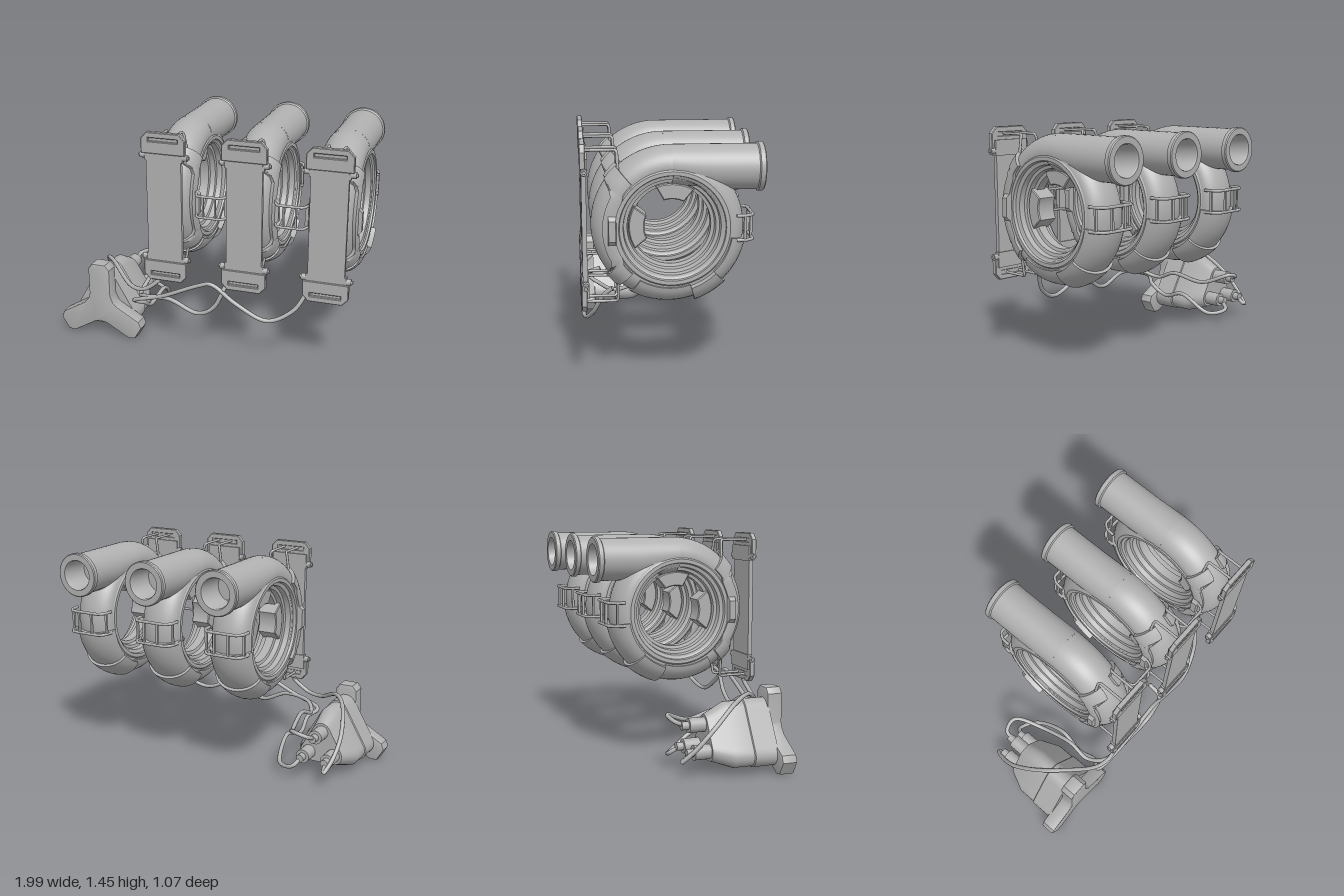
import * as THREE from 'three';
import { toCreasedNormals } from 'three/addons/utils/BufferGeometryUtils.js';

const RAD = Math.PI / 180;
const grey = new THREE.MeshStandardMaterial({ color: 0xb0b0b0, side: THREE.DoubleSide });
grey.name = 'plain grey';

function add(parent, name, geometry, x = 0, y = 0, z = 0) {
  const mesh = new THREE.Mesh(geometry, grey);
  mesh.name = name;
  mesh.position.set(x, y, z);
  parent.add(mesh);
  return mesh;
}
const box = (p, name, w, h, d, x, y, z) => add(p, name, new THREE.BoxGeometry(w, h, d), x, y, z);
const crease = (g) => toCreasedNormals(g, 0.6);

// Skin a list of equal-length cross-sections
function loft(rings, closed = true, caps = false) {
  const n = rings[0].length, pos = rings.flat(2), index = [];
  for (let i = 0; i < rings.length - 1; i++)
    for (let j = 0; j < (closed ? n : n - 1); j++) {
      const a = i * n + j, b = i * n + (j + 1) % n;
      index.push(a, a + n, b, b, a + n, b + n);
    }
  if (caps) [0, rings.length - 1].forEach((i) => {
    const c = pos.length / 3;
    for (let k = 0; k < 3; k++) pos.push(rings[i].reduce((s, p) => s + p[k], 0) / n);
    for (let j = 0; j < n; j++) {
      const a = i * n + j, b = i * n + (j + 1) % n;
      index.push(c, i ? b : a, i ? a : b);
    }
  });
  const g = new THREE.BufferGeometry();
  g.setAttribute('position', new THREE.Float32BufferAttribute(pos, 3));
  g.setIndex(index);
  return crease(g);
}

// Round bar or hose through points; low tension keeps bends tight
function tube(parent, name, points, radius, tension = 0.15, steps = 40) {
  const curve = new THREE.CatmullRomCurve3(points.map((p) => new THREE.Vector3(...p)), false, 'catmullrom', tension);
  return add(parent, name, new THREE.TubeGeometry(curve, steps, radius, 8), 0, 0, 0);
}

// Point on the spiral casing: t runs from the top over the front, psi around the section (degrees)
function casingPoint(t, psi, offset) {
  const outer = 0.47 - 0.045 * THREE.MathUtils.clamp((t - 90) / 200, 0, 1);
  const a = (outer - 0.24) / 2;
  const r = 0.24 + a + (a + offset) * Math.cos(psi * RAD);
  return [(0.134 + offset) * Math.sin(psi * RAD), r * Math.cos(t * RAD), r * Math.sin(t * RAD)];
}
const span = (a, b, n) => Array.from({ length: n + 1 }, (_, i) => a + (b - a) * i / n);

// Raised armour panel following the casing
function panel(parent, name, t0, t1, lo, hi, offset) {
  const ts = span(t0, t1, 24);
  const section = (t, o) => {
    const ps = span(lo(t), hi(t), 14);
    return [...ps.map((p) => casingPoint(t, p, o)), ...ps.reverse().map((p) => casingPoint(t, p, -0.01))];
  };
  add(parent, name, loft([section(t0, -0.01), ...ts.map((t) => section(t, offset)), section(t1, -0.01)]));
}

// Curved block inside the central opening
function innerBlock(parent, from, to) {
  const s = new THREE.Shape();
  s.absarc(0, 0, 0.245, from * RAD, to * RAD, false);
  s.absarc(0, 0, 0.165, (to - 5) * RAD, (from + 5) * RAD, true);
  const g = new THREE.ExtrudeGeometry(s, { depth: 0.12, bevelSize: 0.006, bevelThickness: 0.006, bevelSegments: 1, curveSegments: 10 });
  add(parent, 'innerBlock', g.translate(0, 0, -0.06).rotateY(Math.PI / 2));
}

// End of the front plate: chamfered cap with slot, hinge bar and two rails to the casing
function plateEnd() {
  const g = new THREE.Group();
  g.name = 'plateEnd';
  const s = new THREE.Shape([[-0.14, 0.36], [0.14, 0.36], [0.14, 0.45], [0.105, 0.488], [-0.105, 0.488], [-0.14, 0.45]]
    .map((p) => new THREE.Vector2(...p)));
  s.holes.push(new THREE.Path([[-0.1, 0.43], [-0.1, 0.46], [0.1, 0.46], [0.1, 0.43]].map((p) => new THREE.Vector2(...p))));
  add(g, 'cap', new THREE.ExtrudeGeometry(s, { depth: 0.026, bevelSize: 0.004, bevelThickness: 0.004, bevelSegments: 1 }), 0, 0, 0.5);
  box(g, 'slotBack', 0.21, 0.06, 0.012, 0, 0.445, 0.505);
  box(g, 'hingeBlock', 0.25, 0.1, 0.035, 0, 0.36, 0.502);
  add(g, 'hingeBar', new THREE.CylinderGeometry(0.011, 0.011, 0.33, 12).rotateZ(Math.PI / 2), 0, 0.34, 0.505);
  for (const sx of [-1, 1]) {
    add(g, 'hingeKnob', new THREE.CylinderGeometry(0.02, 0.02, 0.03, 14).rotateZ(Math.PI / 2), sx * 0.14, 0.34, 0.505);
    tube(g, 'rail', [[sx * 0.05, 0.45, 0.5], [sx * 0.05, 0.45, 0.33], [sx * 0.06, 0.435, 0.315], [sx * 0.08, 0.32, 0.31]], 0.009);
  }
  return g;
}

function createPod() {
  const pod = new THREE.Group();
  pod.name = 'spiralPod';
  // Spiral casing and its straight outlet
  add(pod, 'casing', loft(span(0, 360, 80).map((t) => span(-118, 118, 28).map((p) => casingPoint(t, p, 0))), false));
  const outlet = [[-0.51, 0.335, 0.135], [-0.25, 0.335, 0.135], [-0.12, 0.345, 0.125], [0, 0.355, 0.115]];
  add(pod, 'outlet', loft(outlet.map(([z, y, a]) => span(0, 350, 35).map((p) =>
    [0.135 * Math.sin(p * RAD), y + a * Math.cos(p * RAD), z]))));
  const mouth = [[0.134, 0.5], [0.145, 0.507], [0.145, 0.534], [0.139, 0.54], [0.1, 0.54], [0.094, 0.53], [0.094, 0.34], [0, 0.34]];
  add(pod, 'outletFlange', crease(new THREE.LatheGeometry(mouth.map((p) => new THREE.Vector2(...p)), 40).rotateX(-Math.PI / 2)), 0, 0.335, 0);
  // Stepped collar lining the opening
  const half = [[0.345, 0.11], [0.345, 0.132], [0.335, 0.14], [0.312, 0.14], [0.305, 0.115], [0.285, 0.11], [0.28, 0.075], [0.26, 0.07], [0.255, 0.035], [0.235, 0.03]];
  const collar = [...half, ...half.map(([r, x]) => [r, -x]).reverse()].map((p) => new THREE.Vector2(...p));
  add(pod, 'collar', crease(new THREE.LatheGeometry(collar, 64).rotateZ(Math.PI / 2)));
  innerBlock(pod, 60, 110);
  innerBlock(pod, 153, 210);
  // Side brackets that widen at both ends
  const end = (t) => THREE.MathUtils.smoothstep(Math.abs(t - 90), 30, 37);
  for (const s of [-1, 1]) {
    const inner = (t) => 68 - 50 * end(t), outer = (t) => 98 - 8 * end(t);
    panel(pod, 'sideBracket', 42, 138, s > 0 ? inner : (t) => -outer(t), s > 0 ? outer : (t) => -inner(t), 0.022);
    const pad = box(pod, 'sidePad', 0.03, 0.2, 0.05, s * 0.155, 0, 0.35);
    const p = pad.geometry.attributes.position;
    for (let i = 0; i < p.count; i++) if (p.getX(i) * s > 0) p.setXYZ(i, s * 0.022, p.getY(i) * 0.6, p.getZ(i) * 0.8);
    pad.geometry.computeVertexNormals();
  }
  // Lower armour panels
  for (const [a, b, o, w] of [[148, 197, 0.012, 86], [197, 223, 0.036, 80], [223, 260, 0.018, 84]])
    panel(pod, 'lowerPanel', a, b, () => -w, () => w, o);
  // Rear cage
  for (const y of [-0.075, 0.07])
    tube(pod, 'cageBar', [[-0.14, y, -0.37], [-0.135, y, -0.43], [-0.1, y, -0.47], [0.1, y, -0.47], [0.135, y, -0.43], [0.14, y, -0.37]], 0.01);
  for (const [x, z] of [[-0.135, -0.42], [-0.05, -0.47], [0.05, -0.47], [0.135, -0.42]])
    box(pod, 'cagePost', 0.015, 0.145, 0.015, x, 0, z);
  // Front plate
  box(pod, 'frontPlate', 0.23, 0.72, 0.028, 0, 0, 0.507);
  const top = plateEnd(), bottom = plateEnd();
  bottom.rotation.z = Math.PI;
  pod.add(top, bottom);
  return pod;
}

function createCanister() {
  const can = new THREE.Group();
  can.name = 'canister';
  // Three-armed front foot
  const pts = [];
  for (const k of [0, 1, 2]) for (const [x, y] of [[0.066, 0.09], [0.066, 0.27], [0.042, 0.3], [-0.042, 0.3], [-0.066, 0.27], [-0.066, 0.09], [-0.075, 0.055]]) {
    const a = k * 120 * RAD;
    pts.push(new THREE.Vector2(x * Math.cos(a) - y * Math.sin(a), x * Math.sin(a) + y * Math.cos(a)));
  }
  add(can, 'foot', crease(new THREE.ExtrudeGeometry(new THREE.Shape(pts),
    { depth: 0.08, bevelSize: 0.01, bevelThickness: 0.01, bevelSegments: 2 })), 0, 0, 0.43);
  // Body: hull around three lobes, tapering to the rear
  const radius = (phi, d, r) => {
    const q = ((phi + 60) % 120 + 120) % 120 - 60, a = Math.abs(q) * RAD;
    if (a < Math.atan2(r * 0.866, d + r * 0.5)) return d * Math.cos(a) + Math.sqrt(r * r - (d * Math.sin(a)) ** 2);
    return (d * 0.5 + r) / Math.cos(60 * RAD - a);
  };
  const rings = [[0.02, 0.1, 0.062], [0.15, 0.165, 0.068], [0.27, 0.165, 0.068], [0.275, 0.17, 0.072], [0.43, 0.17, 0.072]];
  add(can, 'body', loft(rings.map(([z, d, r]) => span(0, 355, 71).map((p) =>
    [radius(p, d, r) * Math.sin(p * RAD), radius(p, d, r) * Math.cos(p * RAD), z])), true, true));
  // Rear ports
  for (const k of [0, 120, 240]) {
    const x = 0.1 * Math.sin(k * RAD), y = 0.1 * Math.cos(k * RAD);
    add(can, 'port', new THREE.CylinderGeometry(0.046, 0.046, 0.12, 24).rotateX(Math.PI / 2), x, y, -0.025);
    add(can, 'nozzle', new THREE.CylinderGeometry(0.026, 0.026, 0.06, 16).rotateX(Math.PI / 2), x, y, -0.1);
  }
  can.position.set(-0.7, 0.22, 0);
  return can;
}

export function createModel() {
  const model = new THREE.Group();
  model.name = 'spiralPodsWithCanister';
  const centres = [-0.22, 0.302, 0.825];
  for (const x of centres) {
    const pod = createPod();
    pod.position.set(x, 0.98, 0);
    model.add(pod);
  }
  // Ladders joining neighbouring pods
  for (const i of [0, 1]) {
    const a = centres[i], b = centres[i + 1];
    for (const y of [0.91, 1.05])
      tube(model, 'ladderRail', [[a + 0.15, y, 0.34], [a + 0.17, y, 0.4], [a + 0.19, y, 0.418], [b - 0.19, y, 0.418], [b - 0.17, y, 0.4], [b - 0.15, y, 0.34]], 0.009);
    for (const s of [-0.04, 0.04]) box(model, 'ladderRung', 0.012, 0.14, 0.012, (a + b) / 2 + s, 0.98, 0.418);
  }
  model.add(createCanister());
  // Hoses from the canister ports to the pods
  const hoses = [
    [[-0.787, 0.17, -0.1], [-0.8, 0.12, -0.165], [-0.83, 0.2, -0.08], [-0.83, 0.32, 0.04], [-0.77, 0.45, 0.2], [-0.66, 0.48, 0.34], [-0.5, 0.4, 0.47], [-0.38, 0.4, 0.51], [-0.28, 0.47, 0.5], [-0.27, 0.5, 0.49]],
    [[-0.7, 0.32, -0.1], [-0.68, 0.35, -0.17], [-0.58, 0.37, -0.17], [-0.5, 0.31, 0], [-0.46, 0.35, 0.22], [-0.46, 0.3, 0.38], [-0.38, 0.34, 0.49], [-0.2, 0.355, 0.515], [-0.02, 0.285, 0.515], [0.1, 0.34, 0.515], [0.17, 0.48, 0.5], [0.18, 0.53, 0.4]],
    [[-0.613, 0.17, -0.1], [-0.57, 0.12, -0.165], [-0.45, 0.11, -0.09], [-0.41, 0.22, 0.1], [-0.43, 0.18, 0.28], [-0.42, 0.25, 0.41], [-0.46, 0.3, 0.49], [-0.25, 0.37, 0.515], [0, 0.48, 0.515], [0.1, 0.495, 0.515], [0.25, 0.39, 0.515], [0.45, 0.3, 0.51], [0.61, 0.37, 0.46], [0.69, 0.5, 0.4], [0.72, 0.56, 0.34]],
  ];
  for (const path of hoses) tube(model, 'hose', path, 0.014, 0.5, 120);
  return model;
}
